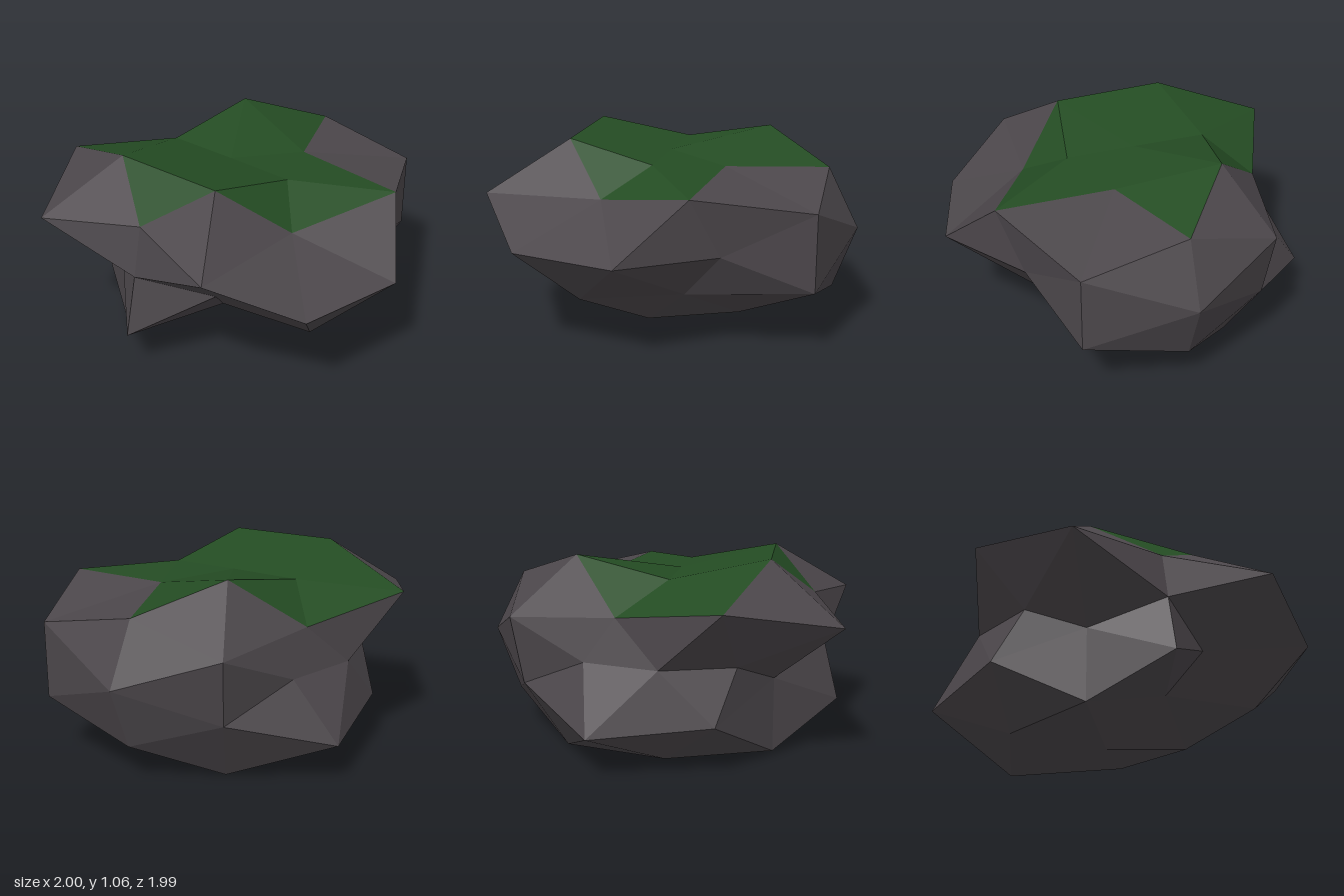
import * as THREE from 'three';

// Distance from the core for each icosphere corner. The key is the rounded
// absolute direction (x10); entries run through the signs of the nonzero axes, + first.
const RADII = {
  '10,0,0': [1.1, 0.75],
  '0,10,0': [0.65, 0.905],
  '0,0,10': [0.8, 1.08],
  '5,9,0': [0.74, 0.92, 0.78, 1.05],
  '0,5,9': [0.87, 1.07, 1.035, 1.115],
  '9,0,5': [1.125, 0.89, 0.73, 0.77],
  '3,8,5': [1.0, 0.74, 0.66, 0.94, 1.04, 1.03, 1.1, 1.15],
  '5,3,8': [1.12, 1.155, 0.66, 1.15, 1.13, 1.03, 0.68, 0.96],
  '8,5,3': [0.735, 1.075, 0.955, 0.82, 1.1, 0.78, 0.94, 1.11],
};
const CORE = new THREE.Vector3(-0.1, 0.56, 0.08);
const SQUASH = 0.6;

function radiusFor(dir) {
  const c = dir.toArray().map((v) => Math.round(v * 10));
  const key = c.map(Math.abs).join(',');
  const index = c.filter((v) => v !== 0).reduce((i, v) => i * 2 + (v < 0 ? 1 : 0), 0);
  return RADII[key][index];
}

function facetMesh(name, points, material) {
  const geometry = new THREE.BufferGeometry().setFromPoints(points);
  geometry.computeVertexNormals();
  const mesh = new THREE.Mesh(geometry, material);
  mesh.name = name;
  return mesh;
}

export function createModel() {
  const stone = new THREE.MeshStandardMaterial({ color: 0x4c474b });
  stone.name = 'stone';
  const moss = new THREE.MeshStandardMaterial({ color: 0x244c23 });
  moss.name = 'moss';

  // Push each corner of the icosphere in or out, then flatten the boulder
  const sphere = new THREE.IcosahedronGeometry(1, 1);
  const pos = sphere.attributes.position;
  const stonePoints = [];
  const mossPoints = [];
  for (let i = 0; i < pos.count; i += 3) {
    const dirs = [0, 1, 2].map((k) => new THREE.Vector3().fromBufferAttribute(pos, i + k));
    const corners = dirs.map((d) => {
      const p = d.clone().multiplyScalar(radiusFor(d));
      p.y *= SQUASH;
      return p.add(CORE);
    });
    // Facets wholly on the upper cap are mossy
    const mossy = dirs.every((d) => d.y > 0.45);
    (mossy ? mossPoints : stonePoints).push(...corners);
  }

  const group = new THREE.Group();
  group.name = 'mossyBoulder';
  group.add(facetMesh('boulder', stonePoints, stone), facetMesh('mossCap', mossPoints, moss));
  return group;
}
